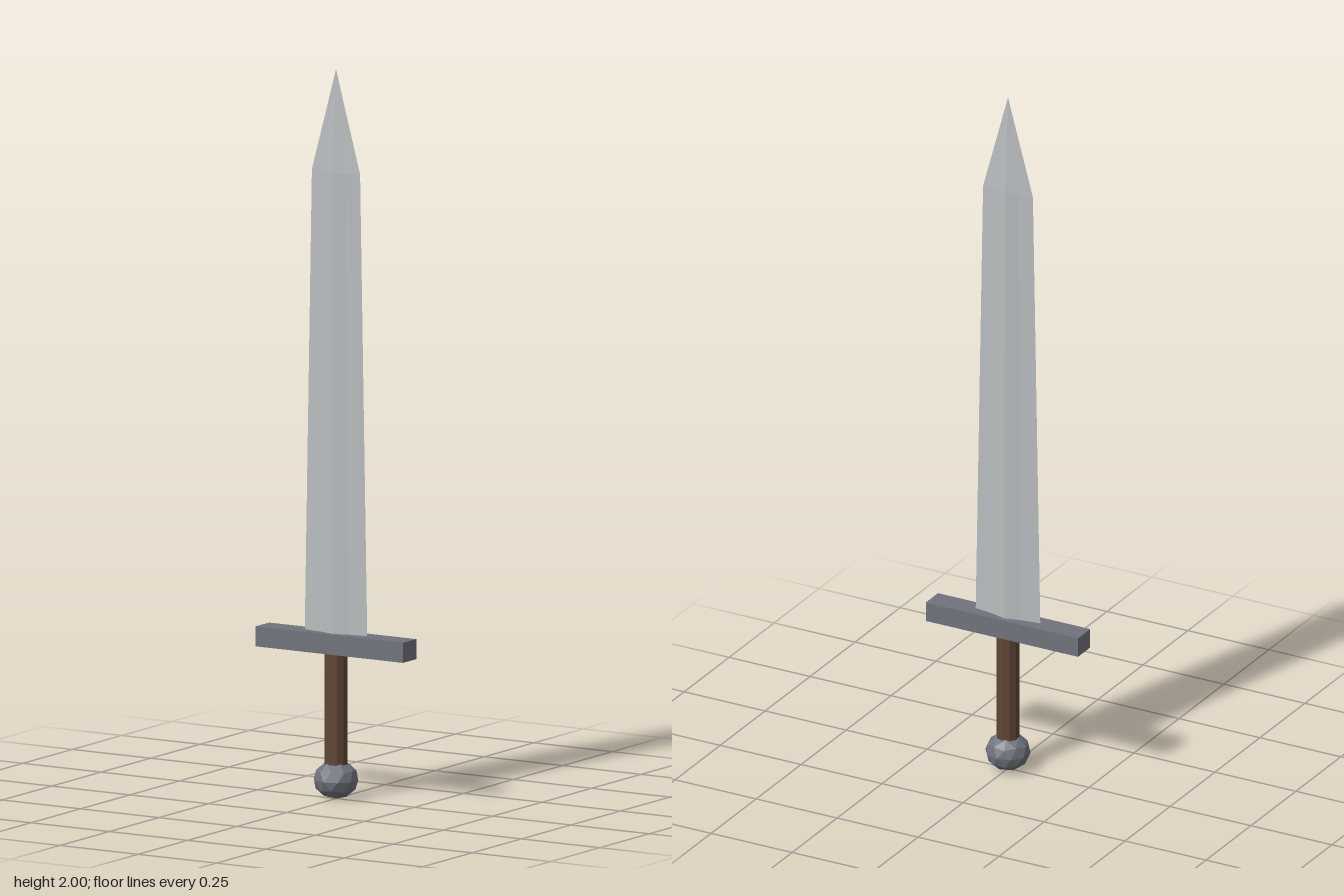
import * as THREE from 'three';

const mat = (name, color) => {
  const m = new THREE.MeshStandardMaterial({ color, flatShading: true });
  m.name = name;
  return m;
};

// Faceted blade lofted from eight-point hollow-ground diamond sections
function bladeGeometry() {
  // y, half width, shoulder x, shoulder z, ridge z
  const levels = [
    [0.44, 0.1, 0.042, 0.008, 0.02],
    [1.72, 0.077, 0.036, 0.007, 0.017],
    [1.9, 0.0275, 0.013, 0.0025, 0.006],
    [2.0, 0.0005, 0.0003, 0.0001, 0.0002],
  ];
  const rings = levels.map(([y, w, sx, sz, r]) => [
    [w, y, 0], [sx, y, sz], [0, y, r], [-sx, y, sz],
    [-w, y, 0], [-sx, y, -sz], [0, y, -r], [sx, y, -sz],
  ]);
  const pos = [];
  for (let i = 0; i < rings.length - 1; i++) {
    for (let j = 0; j < 8; j++) {
      const k = (j + 1) % 8;
      const a = rings[i][j], b = rings[i][k], c = rings[i + 1][k], d = rings[i + 1][j];
      // counter-clockwise from outside
      pos.push(...a, ...d, ...c, ...a, ...c, ...b);
    }
  }
  // the ring runs +x to +z, so reverse each triangle to face outwards
  for (let t = 0; t < pos.length; t += 9) {
    for (let n = 0; n < 3; n++) {
      [pos[t + 3 + n], pos[t + 6 + n]] = [pos[t + 6 + n], pos[t + 3 + n]];
    }
  }
  const g = new THREE.BufferGeometry();
  g.setAttribute('position', new THREE.Float32BufferAttribute(pos, 3));
  // orient every face away from the blade axis
  const p = g.attributes.position;
  const A = new THREE.Vector3(), B = new THREE.Vector3(), C = new THREE.Vector3();
  for (let i = 0; i < p.count; i += 3) {
    A.fromBufferAttribute(p, i);
    B.fromBufferAttribute(p, i + 1);
    C.fromBufferAttribute(p, i + 2);
    const n = B.clone().sub(A).cross(C.clone().sub(A));
    const mid = A.clone().add(B).add(C).setY(0);
    if (n.dot(mid) < 0) {
      p.setXYZ(i + 1, C.x, C.y, C.z);
      p.setXYZ(i + 2, B.x, B.y, B.z);
    }
  }
  g.computeVertexNormals();
  return g;
}

export function createModel() {
  const group = new THREE.Group();
  group.name = 'sword';
  const steel = mat('blade steel', 0xb9bdbf);
  const iron = mat('dark iron', 0x70737c);
  const leather = mat('brown grip', 0x5e4635);

  const add = (name, geometry, material, y = 0) => {
    const mesh = new THREE.Mesh(geometry, material);
    mesh.name = name;
    mesh.position.y = y;
    group.add(mesh);
  };

  add('blade', bladeGeometry(), steel);
  add('crossguard', new THREE.BoxGeometry(0.47, 0.055, 0.068), iron, 0.4275);
  add('grip', new THREE.CylinderGeometry(0.032, 0.032, 0.33, 10), leather, 0.245);

  // Pommel: icosphere standing on a vertex, slightly flattened
  const pommel = new THREE.IcosahedronGeometry(1, 1);
  pommel.rotateZ(Math.atan(2 / (1 + Math.sqrt(5))));
  pommel.scale(0.062, 0.053, 0.062);
  add('pommel', pommel, iron, 0.053);

  return group;
}
